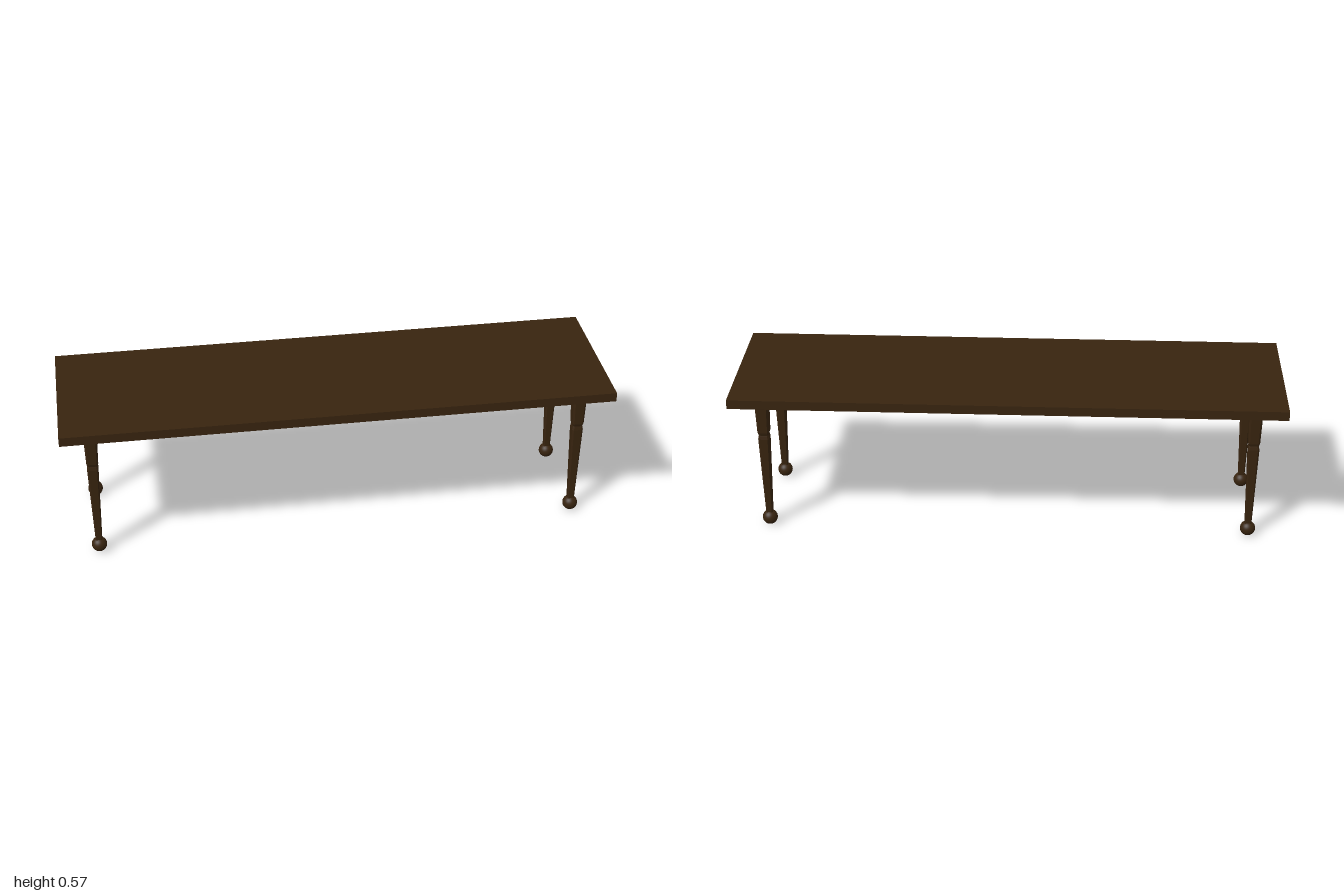
import * as THREE from 'three';

const wood = new THREE.MeshStandardMaterial({ color: 0x38240f });
wood.name = 'dark wood';

// Leg profile from bottom to top: [height, half width]
const LEG_PROFILE = [
  [0.045, 0.012], [0.366, 0.0205], [0.377, 0.0185], [0.381, 0.0175],
  [0.392, 0.0212], [0.534, 0.0252],
];

// Corners of a square with cut corners, counter-clockwise seen from above
function chamferedSquare(h) {
  const k = h * 0.72;
  return [[h, k], [h, -k], [k, -h], [-k, -h], [-h, -k], [-h, k], [-k, h], [k, h]];
}

// Faceted shaft joining the profile's cross-sections
function shaftGeometry() {
  const pos = [];
  const rings = LEG_PROFILE.map(([y, h]) => chamferedSquare(h).map(([x, z]) => [x, y, z]));
  for (let r = 0; r < rings.length - 1; r++) {
    for (let i = 0; i < 8; i++) {
      const j = (i + 1) % 8;
      const a = rings[r][i], b = rings[r][j], c = rings[r + 1][j], d = rings[r + 1][i];
      pos.push(...a, ...b, ...c, ...a, ...c, ...d);
    }
  }
  const geo = new THREE.BufferGeometry();
  geo.setAttribute('position', new THREE.Float32BufferAttribute(pos, 3));
  geo.computeVertexNormals();
  return geo;
}

export function createModel() {
  const model = new THREE.Group();
  model.name = 'table';

  // Thin flat board
  const top = new THREE.Mesh(new THREE.BoxGeometry(2, 0.034, 0.568), wood);
  top.name = 'tableTop';
  top.position.y = 0.55;
  model.add(top);

  // Four turned legs on ball feet
  const shaftGeo = shaftGeometry();
  const ballGeo = new THREE.SphereGeometry(0.028, 32, 20);
  for (const [sx, xName] of [[1, 'Left'], [-1, 'Right']]) {
    for (const [sz, zName] of [[1, 'front'], [-1, 'back']]) {
      const leg = new THREE.Group();
      leg.name = `${zName}${xName}Leg`;
      const shaft = new THREE.Mesh(shaftGeo, wood);
      shaft.name = 'legShaft';
      const foot = new THREE.Mesh(ballGeo, wood);
      foot.name = 'ballFoot';
      foot.position.y = 0.028;
      leg.add(shaft, foot);
      leg.position.set(sx * 0.892, 0, sz * 0.182);
      model.add(leg);
    }
  }
  return model;
}
